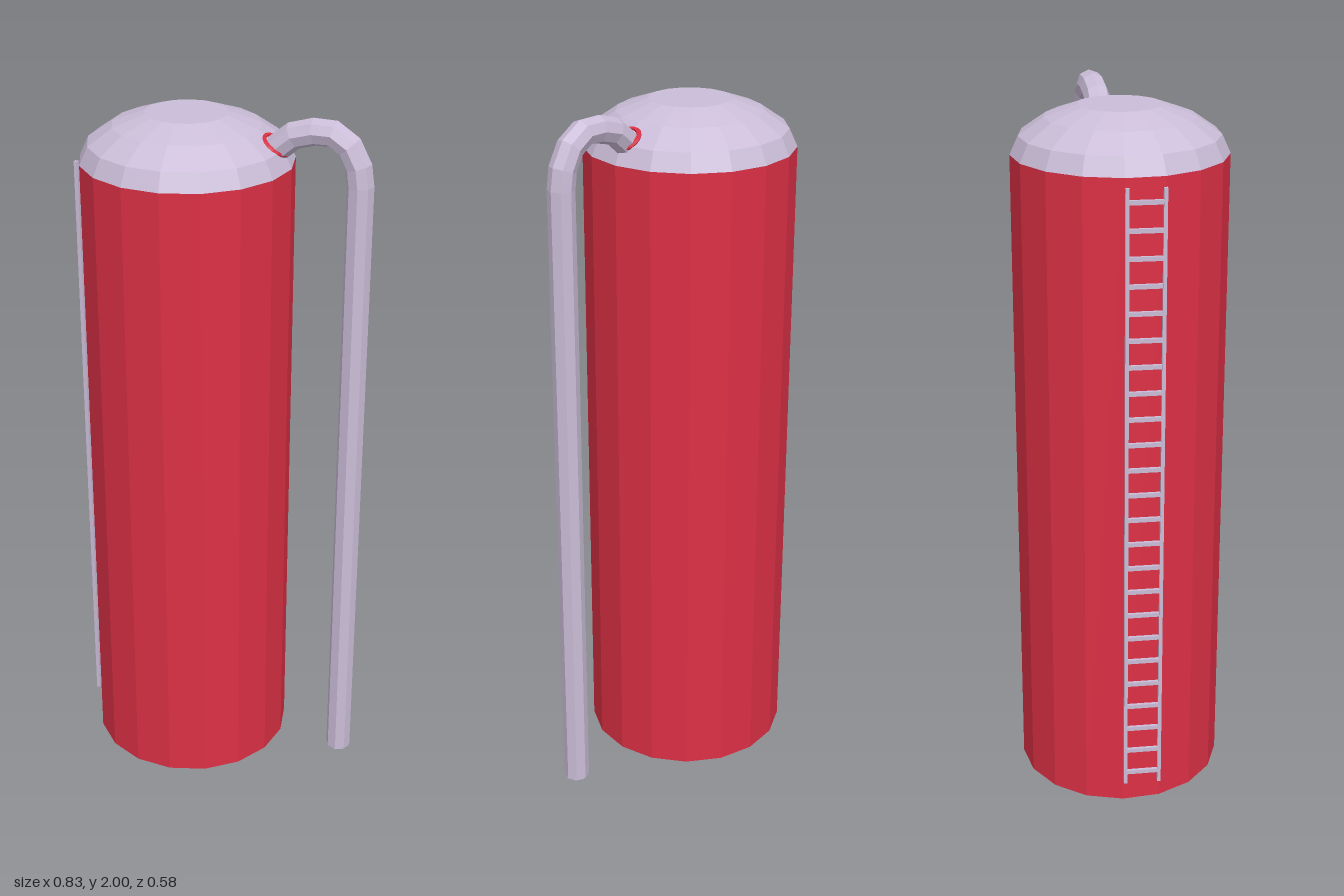
import * as THREE from 'three';

const RADIUS = 0.295, SIDES = 17, CENTRE_X = -0.11, SHOULDER = 1.855;

export function createModel() {
  const red = new THREE.MeshStandardMaterial({ name: 'red paint', color: 0xdc3045, flatShading: true });
  const lilac = new THREE.MeshStandardMaterial({ name: 'pale lilac metal', color: 0xcbbdd8, flatShading: true });
  const model = new THREE.Group();
  model.name = 'storageTank';

  const add = (name, geometry, material, x = 0, y = 0, z = 0, parent = model) => {
    const mesh = new THREE.Mesh(geometry, material);
    mesh.name = name;
    mesh.position.set(x, y, z);
    parent.add(mesh);
    return mesh;
  };

  // Tank body, with a corner pointing straight back
  add('tankBody', new THREE.CylinderGeometry(RADIUS, RADIUS, SHOULDER, SIDES, 1, false, Math.PI),
    red, CENTRE_X, SHOULDER / 2);

  // Faceted dome with a flat crown
  const profile = [[RADIUS, SHOULDER], [0.272, 1.905], [0.204, 1.952], [0.114, 1.984], [0, 1.984]]
    .map(([r, y]) => new THREE.Vector2(r, y));
  add('dome', new THREE.LatheGeometry(profile, SIDES, Math.PI), lilac, CENTRE_X);

  // Outlet pipe: one ring of the tube at each path point
  const points = [
    [0.1, 1.865, -0.021], [0.143, 1.91, -0.023], [0.188, 1.948, -0.026], [0.245, 1.964, -0.03],
    [0.296, 1.964, -0.033], [0.341, 1.934, -0.036], [0.368, 1.882, -0.037], [0.375, 1.83, -0.037],
    [0.375, 1.78, -0.037], [0.375, 0.05, -0.037], [0.375, 0.005, -0.037],
  ].map(p => new THREE.Vector3(...p));
  const path = new THREE.CatmullRomCurve3(points);
  path.getPointAt = path.getPoint;
  path.getTangentAt = path.getTangent;
  add('outletPipe', new THREE.TubeGeometry(path, points.length - 1, 0.037, 8), lilac);
  add('pipeEnd', new THREE.CylinderGeometry(0.036, 0.036, 0.01, 8), lilac, 0.375, 0.005, -0.037);

  // Collar where the pipe enters the dome
  const collar = add('pipeCollar', new THREE.TorusGeometry(0.037, 0.007, 6, 16), red, 0.139, 1.917, -0.022);
  collar.quaternion.setFromUnitVectors(new THREE.Vector3(0, 0, 1), new THREE.Vector3(0.57, 0.82, 0).normalize());

  // Ladder on the tank's right side
  const ladder = new THREE.Group();
  ladder.name = 'ladder';
  model.add(ladder);
  const bottom = 0.06, top = 1.83, rungs = 24;
  for (const z of [-0.021, 0.077]) {
    add('ladderRail', new THREE.BoxGeometry(0.011, top - bottom, 0.01), lilac,
      -0.41, (top + bottom) / 2, z, ladder);
  }
  for (let i = 0; i < rungs; i++) {
    const y = bottom + (top - bottom) * (i + 0.5) / rungs;
    add('ladderRung', new THREE.BoxGeometry(0.009, 0.012, 0.09), lilac, -0.41, y, 0.028, ladder);
  }
  return model;
}
